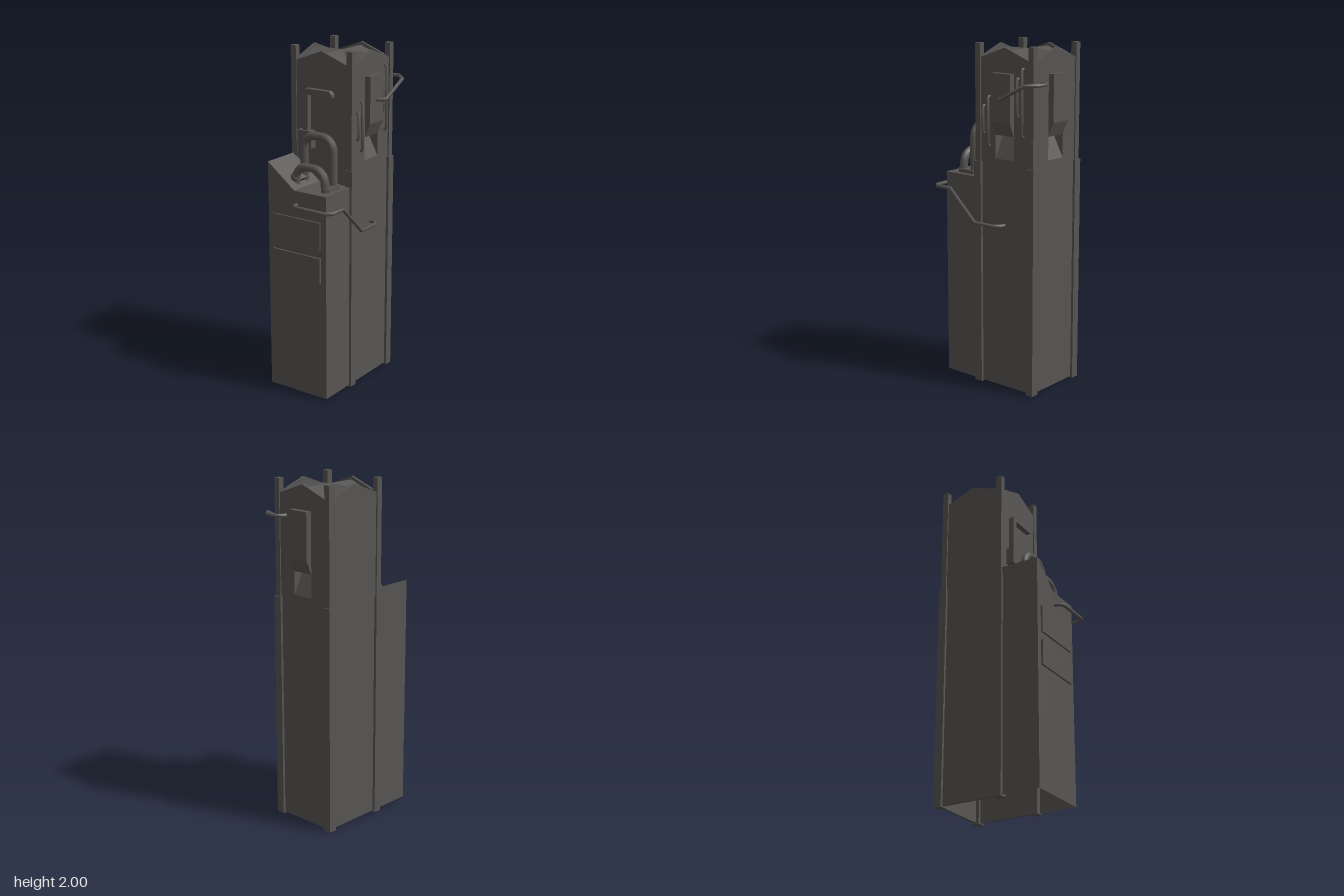
import * as THREE from 'three';

const X0 = -0.085, X1 = 0.32, Z0 = -0.24, Z1 = 0.162;   // tower footprint
const CX = (X0 + X1) / 2, CZ = (Z0 + Z1) / 2;
const BASE = 0.008, EAVE = 1.91, APEX = 1.985;

// Straight-sided path that keeps its corners when swept
class Polyline extends THREE.Curve {
  constructor(points) {
    super();
    this.points = points.map((p) => new THREE.Vector3(...p));
  }
  getPoint(t) {
    const n = this.points.length - 1, i = Math.min(Math.floor(t * n + 1e-6), n - 1);
    return this.points[i].clone().lerp(this.points[i + 1], t * n - i);
  }
  getPointAt(t) { return this.getPoint(t); }
  getTangentAt(t) {
    const n = this.points.length - 1, i = Math.round(t * n), p = this.points;
    const dir = (a, b) => p[b].clone().sub(p[a]).normalize();
    const d = new THREE.Vector3();
    if (i > 0) d.add(dir(i - 1, i));
    if (i < n) d.add(dir(i, i + 1));
    return d.normalize();
  }
}

export function createModel() {
  const model = new THREE.Group();
  model.name = 'tower';
  const metal = new THREE.MeshStandardMaterial({ color: 0x575553, side: THREE.DoubleSide });
  metal.name = 'dark grey metal';

  const add = (name, geo, parent = model) => {
    const m = new THREE.Mesh(geo, metal);
    m.name = name;
    parent.add(m);
    return m;
  };
  const box = (name, x0, x1, y0, y1, z0, z1) =>
    add(name, new THREE.BoxGeometry(x1 - x0, y1 - y0, z1 - z0))
      .position.set((x0 + x1) / 2, (y0 + y1) / 2, (z0 + z1) / 2);
  const tube = (name, pts, r) =>
    add(name, new THREE.TubeGeometry(new Polyline(pts), pts.length - 1, r, 8));
  // Flat faces, each a fan of corners
  const faces = (name, polys, parent) => {
    const v = [];
    for (const p of polys)
      for (let i = 1; i < p.length - 1; i++) v.push(...p[0], ...p[i], ...p[i + 1]);
    const g = new THREE.BufferGeometry();
    g.setAttribute('position', new THREE.Float32BufferAttribute(v, 3));
    g.computeVertexNormals();
    return add(name, g, parent);
  };
  const shape = (pts) => new THREE.Shape(pts.map((p) => new THREE.Vector2(...p)));
  const extrude = (pts, depth) =>
    new THREE.ExtrudeGeometry(shape(pts), { depth, bevelEnabled: false });

  // Gabled tower walls; two of them carry a hooded vent over a sloped recess
  const wall = (name, angle, width, dist, bottom, vent) => {
    const g = new THREE.Group();
    g.name = name;
    g.position.set(CX, 0, CZ);
    g.rotation.y = angle;
    model.add(g);
    const w = width / 2, v = 0.066, lo = 1.36, hi = 1.495;
    const s = shape([[-w, bottom], [w, bottom], [w, EAVE], [0, APEX], [-w, EAVE]]);
    if (vent) s.holes.push(new THREE.Path(
      [[-v, lo], [-v, hi], [v, hi], [v, lo]].map((p) => new THREE.Vector2(...p))));
    const panel = new THREE.ExtrudeGeometry(s, { depth: 0.016, bevelEnabled: false });
    add(name + 'Panel', panel, g).position.z = dist - 0.016;
    if (!vent) return;
    const d = dist - 0.07;
    faces(name + 'Recess', [
      [[-v, lo, dist], [v, lo, dist], [v, hi, d], [-v, hi, d]],
      [[-v, lo, dist], [-v, hi, d], [-v, hi, dist]],
      [[v, lo, dist], [v, hi, dist], [v, hi, d]],
      [[-v, hi, d], [v, hi, d], [v, hi, dist], [-v, hi, dist]],
    ], g);
    const hood = extrude([[0, hi], [0.035, 1.575], [0.035, 1.845], [0, 1.845]], 2 * v);
    hood.rotateY(-Math.PI / 2);
    add(name + 'VentHood', hood, g).position.set(v, 0, dist);
  };
  const hx = (X1 - X0) / 2, hz = (Z1 - Z0) / 2;
  wall('frontWall', 0, 2 * hx, hz, BASE, true);
  wall('leftWall', Math.PI / 2, 2 * hz, hx, BASE, true);
  wall('backWall', Math.PI, 2 * hx, hz, BASE, false);
  wall('rightWall', -Math.PI / 2, 2 * hz, hx, 1.2, false);

  // Cross-gabled roof sunk behind the wall tops
  const rx = hx - 0.016, rz = hz - 0.016, ridge = 1.966, valley = 1.89;
  const roof = [];
  for (const sx of [-1, 1]) for (const sz of [-1, 1]) {
    const c = [CX, ridge, CZ], k = [CX + sx * rx, valley, CZ + sz * rz];
    const a = [CX + sx * rx, ridge, CZ], b = [CX, ridge, CZ + sz * rz];
    roof.push(...(sx * sz > 0 ? [[c, k, a], [c, b, k]] : [[c, a, k], [c, k, b]]));
  }
  faces('roof', roof);

  // Stepped corner posts
  for (const x of [-0.073, 0.309]) for (const z of [-0.231, 0.152]) {
    box('lowerPost', x - 0.025, x + 0.025, 0, 1.33, z - 0.025, z + 0.025);
    box('upperPost', x - 0.018, x + 0.018, 1.33, 2, z - 0.018, z + 0.018);
  }

  // Side block: open underneath, level top in front, rising to the back
  const L = -0.325, M = -0.057, T = 1.235, H = 1.375;
  faces('sideBlock', [
    [[L, BASE, Z1], [X0, BASE, Z1], [X0, T, Z1], [L, T, Z1]],
    [[X0, BASE, Z0], [L, BASE, Z0], [L, H, Z0], [X0, H, Z0]],
    [[L, BASE, M], [L, BASE, Z1], [L, T, Z1], [L, T, M]],
    [[L, BASE, Z0], [L, BASE, M], [L, T, M], [L, H, Z0]],
    [[L, T, Z1], [X0, T, Z1], [X0, T, M], [L, T, M]],
    [[L, T, M], [X0, T, M], [X0, H, Z0], [L, H, Z0]],
  ]);
  box('upperSidePanel', -0.336, L, 0.92, 1.08, -0.205, 0.125);
  box('lowerSidePanel', -0.336, L, 0.72, 0.87, -0.205, 0.125);

  // Arched pipes on the side block
  for (const [x, top] of [[-0.245, 1.357], [-0.165, 1.522]]) {
    const pts = [[x, 1.2, 0.098]], r = 0.075;
    for (const [cz, from] of [[0.098 - r, 0], [-0.102 + r, Math.PI / 2]])
      for (let i = 0; i <= 5; i++) {
        const a = from + (i / 5) * Math.PI / 2;
        pts.push([x, top - r + r * Math.sin(a), cz + r * Math.cos(a)]);
      }
    pts.push([x, 1.2, -0.102]);
    tube('archedPipe', pts, 0.024);
  }

  // Chamfered flanges under the pipe ends
  const flange = (name, y, z, tilt) => {
    const w = 0.07, d = 0.028, c = 0.018;
    const g = extrude([[-w, c - d], [c - w, -d], [w - c, -d], [w, c - d],
      [w, d - c], [w - c, d], [c - w, d], [-w, d - c]], 0.022);
    g.rotateX(-Math.PI / 2);
    const m = add(name, g);
    m.position.set(-0.202, y, z);
    m.rotation.x = tilt;
  };
  const slope = Math.atan2(H - T, M - Z0);
  flange('frontFlange', T, 0.104, 0);
  flange('backFlange', T + (M + 0.112) * Math.tan(slope), -0.112, slope);

  // Junction box with its conduit on the right wall
  box('junctionBox', -0.13, X0, 1.43, 1.53, -0.177, -0.082);
  const conduit = extrude([[-0.15, 1.5], [-0.115, 1.5], [-0.115, 1.735], [0.05, 1.735],
    [0.05, 1.752], [0.032, 1.77], [-0.132, 1.77], [-0.15, 1.752]], 0.032);
  conduit.rotateY(-Math.PI / 2);
  add('conduit', conduit).position.x = X0;

  // Upright bars on the front wall
  for (const [x, y0, y1] of [[-0.03, 1.49, 1.66], [0.008, 1.42, 1.715],
    [0.216, 1.605, 1.83], [0.251, 1.495, 1.885]])
    tube('frontBar', [[x, y0 + 0.008, 0.155], [x, y0 + 0.008, 0.168], [x, y0 + 0.016, 0.176],
      [x, y1 - 0.016, 0.176], [x, y1 - 0.008, 0.168], [x, y1 - 0.008, 0.155]], 0.0085);

  // Thin pipes wrapping round the corners
  tube('upperCornerPipe', [[0.115, 1.705, 0.185], [0.118, 1.705, 0.207], [0.15, 1.708, 0.24],
    [0.315, 1.797, 0.24], [0.371, 1.8, 0.185], [0.371, 1.8, 0.118],
    [0.345, 1.8, 0.09], [0.31, 1.8, 0.09]], 0.011);
  tube('lowerCornerPipe', [[0.115, 0.98, 0.155], [0.112, 0.98, 0.195], [0.08, 0.98, 0.22],
    [-0.06, 0.98, 0.22], [-0.245, 1.155, 0.22], [-0.345, 1.155, 0.22], [-0.372, 1.155, 0.193],
    [-0.372, 1.155, -0.005], [-0.356, 1.155, -0.035], [-0.315, 1.155, -0.042]], 0.011);

  return model;
}
